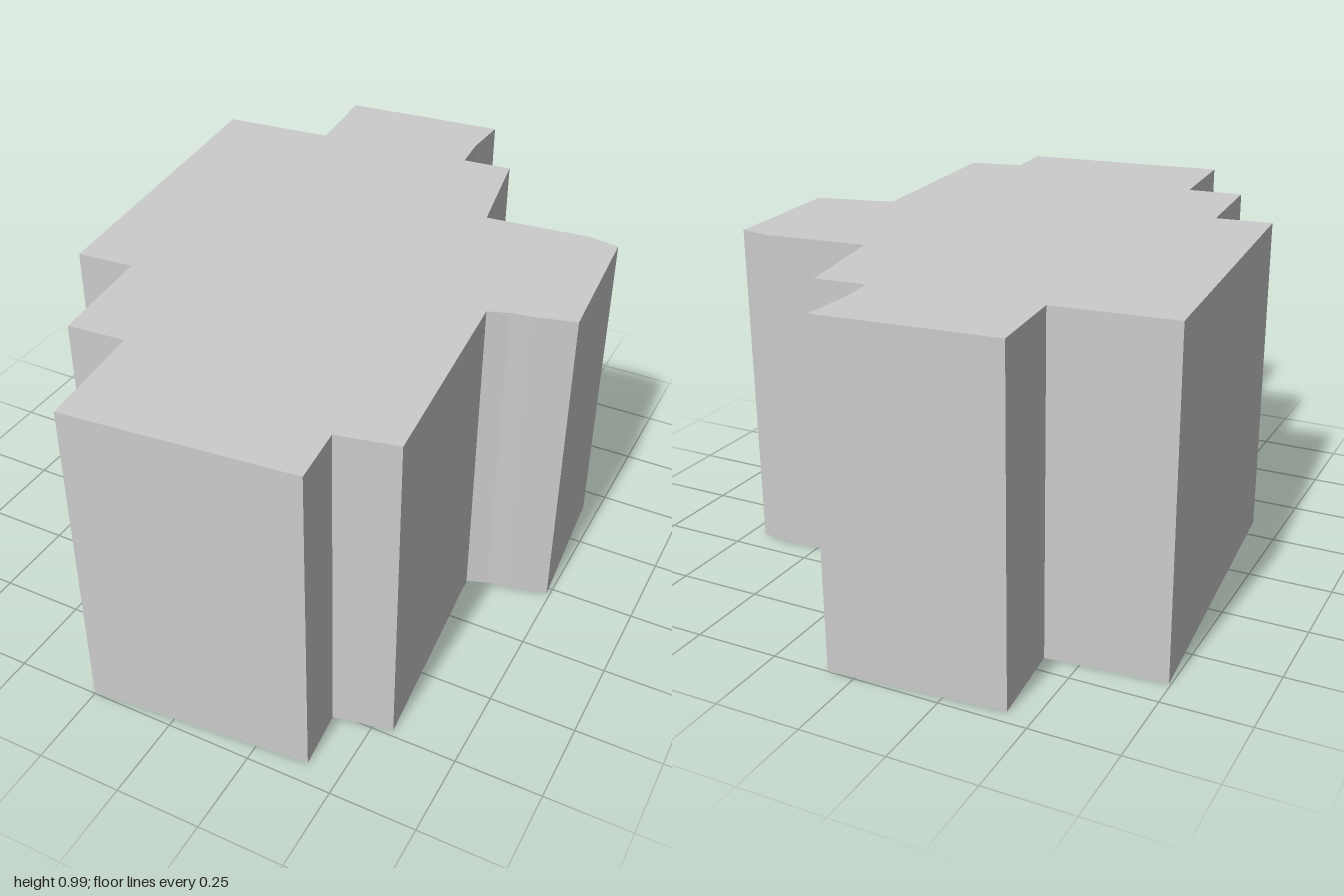
import * as THREE from 'three';

const HEIGHT = 0.985;

// Stepped floor plan as [x, z] corners, starting at the back left of the plan
const PLAN = [
  [-0.425, -0.958], [0.081, -1], [0.074, -0.85], [0.084, -0.733], // back wing
  [0.235, -0.745], [0.297, -0.405],                              // back step
  [0.61, -0.435], [0.703, -0.418], [0.74, 0.025],                // side wing
  [0.62, 0.055], [0.56, 0.065], [0.5, 0.087],
  [0.557, 0.731], [0.387, 0.766], [0.402, 0.938],                // front steps
  [-0.253, 0.997], [-0.284, 0.655], [-0.456, 0.667],
  [-0.486, 0.327], [-0.657, 0.341], [-0.744, -0.66], [-0.401, -0.69],
];

export function createModel() {
  const group = new THREE.Group();
  group.name = 'building';

  // Flat-roofed block: the plan raised straight up
  const shape = new THREE.Shape(PLAN.map(([x, z]) => new THREE.Vector2(x, -z)));
  const geometry = new THREE.ExtrudeGeometry(shape, { depth: HEIGHT, bevelEnabled: false });
  geometry.rotateX(-Math.PI / 2);

  const material = new THREE.MeshStandardMaterial({ color: 0xcccccc, flatShading: true });
  const block = new THREE.Mesh(geometry, material);
  block.name = 'buildingBlock';
  group.add(block);
  return group;
}
